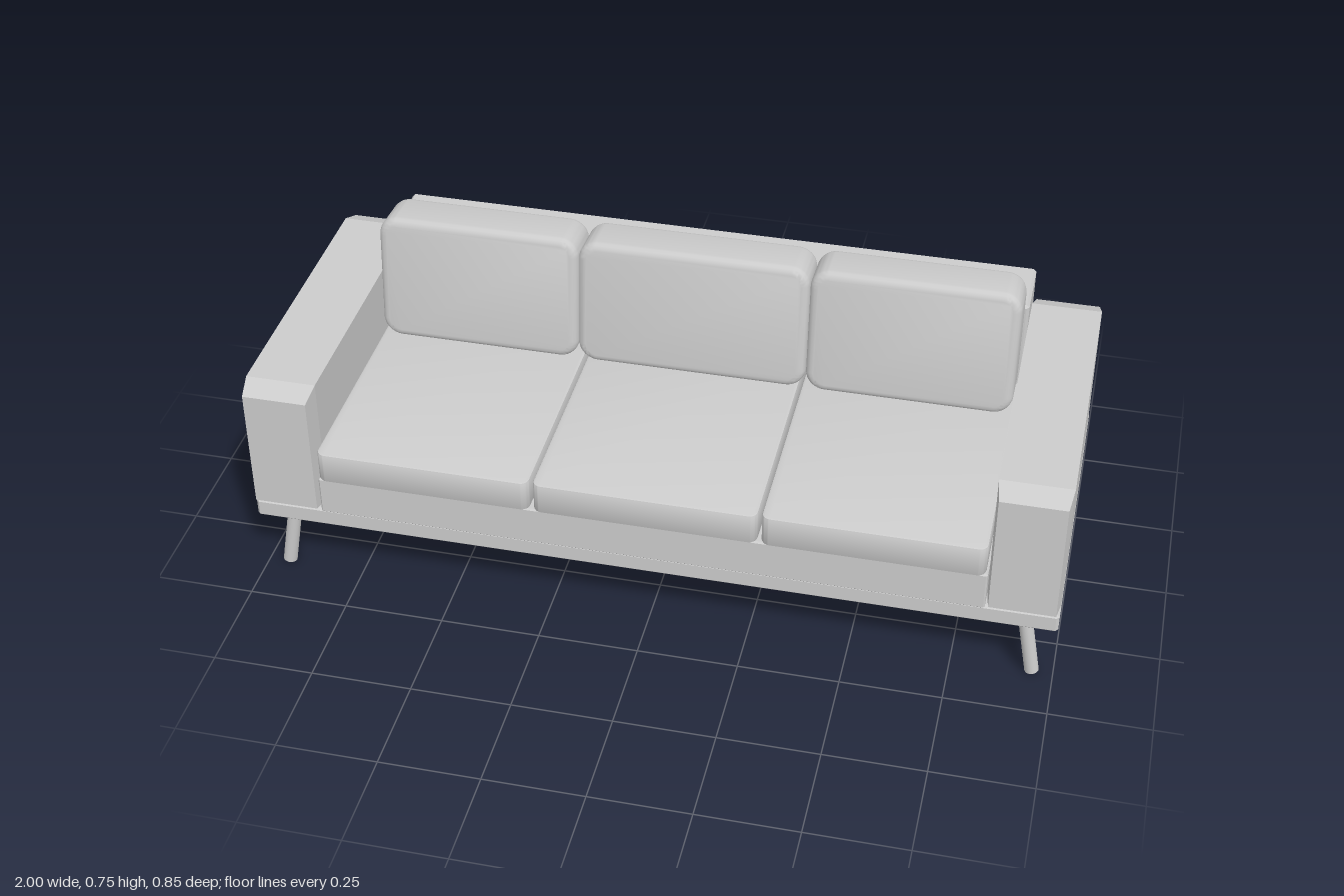
import * as THREE from 'three';
import { toCreasedNormals } from 'three/addons/utils/BufferGeometryUtils.js';
import { ConvexGeometry } from 'three/addons/geometries/ConvexGeometry.js';

const material = new THREE.MeshStandardMaterial({ color: 0xcccccc });

function add(parent, name, geometry, x = 0, y = 0, z = 0) {
  const mesh = new THREE.Mesh(geometry, material);
  mesh.name = name;
  mesh.position.set(x, y, z);
  parent.add(mesh);
  return mesh;
}

// Rounded rectangle extruded along z with a softened rim, centred on the origin
function paddedBlock(w, h, d, radius, bevel, segments = 4) {
  const x = w / 2 - bevel, y = h / 2 - bevel, r = radius - bevel;
  const s = new THREE.Shape();
  s.absarc(x - r, y - r, r, 0, Math.PI / 2);
  s.absarc(-x + r, y - r, r, Math.PI / 2, Math.PI);
  s.absarc(-x + r, -y + r, r, Math.PI, Math.PI * 1.5);
  s.absarc(x - r, -y + r, r, Math.PI * 1.5, Math.PI * 2);
  const geometry = new THREE.ExtrudeGeometry(s, {
    depth: d - 2 * bevel, curveSegments: 6,
    bevelThickness: bevel, bevelSize: bevel, bevelSegments: segments,
  });
  geometry.translate(0, 0, -d / 2 + bevel);
  return toCreasedNormals(geometry, 0.6);
}

// Box spanning two corners, with small chamfers on every edge
function chamferBox(x0, x1, y0, y1, z0, z1, b) {
  const points = [];
  for (const [sx, sy, sz] of [[b, b, 0], [b, 0, b], [0, b, b]])
    for (const x of [x0 + sx, x1 - sx])
      for (const y of [y0 + sy, y1 - sy])
        for (const z of [z0 + sz, z1 - sz]) points.push(new THREE.Vector3(x, y, z));
  return new ConvexGeometry(points);
}

// Armrest: a full-size middle that narrows toward both ends
function armGeometry() {
  const points = [];
  const sections = [[0.365, 0.0875, 0.228, 0.576], [0.419, 0.08, 0.235, 0.554]];
  for (const [z, x, y0, y1] of sections)
    for (const sx of [-x, x])
      for (const y of [y0, y1])
        for (const sz of [-z, z]) points.push(new THREE.Vector3(sx, y, sz));
  return new ConvexGeometry(points);
}

export function createModel() {
  const sofa = new THREE.Group();
  sofa.name = 'sofa';

  // Frame: platform, seat base and backrest
  add(sofa, 'platform', chamferBox(-1, 1, 0.172, 0.224, -0.424, 0.405, 0.007));
  add(sofa, 'seatBase', chamferBox(-0.824, 0.824, 0.222, 0.326, -0.3, 0.413, 0.004));
  add(sofa, 'backrest', chamferBox(-0.824, 0.824, 0.222, 0.645, -0.424, -0.245, 0.007));

  // Arms and splayed legs, mirrored left and right
  const arm = armGeometry();
  const leg = new THREE.CylinderGeometry(0.0175, 0.0175, 0.175, 20);
  for (const [side, s] of [['left', 1], ['right', -1]]) {
    add(sofa, side + 'Arm', arm, s * 0.912, 0, 0);
    for (const [end, z] of [['Front', 0.357], ['Back', -0.382]])
      add(sofa, side + end + 'Leg', leg, s * 0.933, 0.089, z).rotation.z = s * 0.175;
  }

  // Seat cushions and leaning back cushions
  const seats = [['right', -0.552, 0.535], ['middle', 0, 0.55], ['left', 0.552, 0.535]];
  for (const [name, x, w] of seats) {
    const seat = paddedBlock(w, 0.675, 0.082, 0.022, 0.005, 2);
    seat.rotateX(-Math.PI / 2);
    add(sofa, name + 'SeatCushion', seat, x, 0.37, 0.087);
  }
  const backs = [['right', -0.554, 0.52], ['middle', 0, 0.586], ['left', 0.554, 0.52]];
  for (const [name, x, w] of backs) {
    const cushion = add(sofa, name + 'BackCushion',
      paddedBlock(w, 0.338, 0.136, 0.05, 0.02), x, 0.581, -0.17);
    cushion.rotation.x = -0.095;
  }
  return sofa;
}
